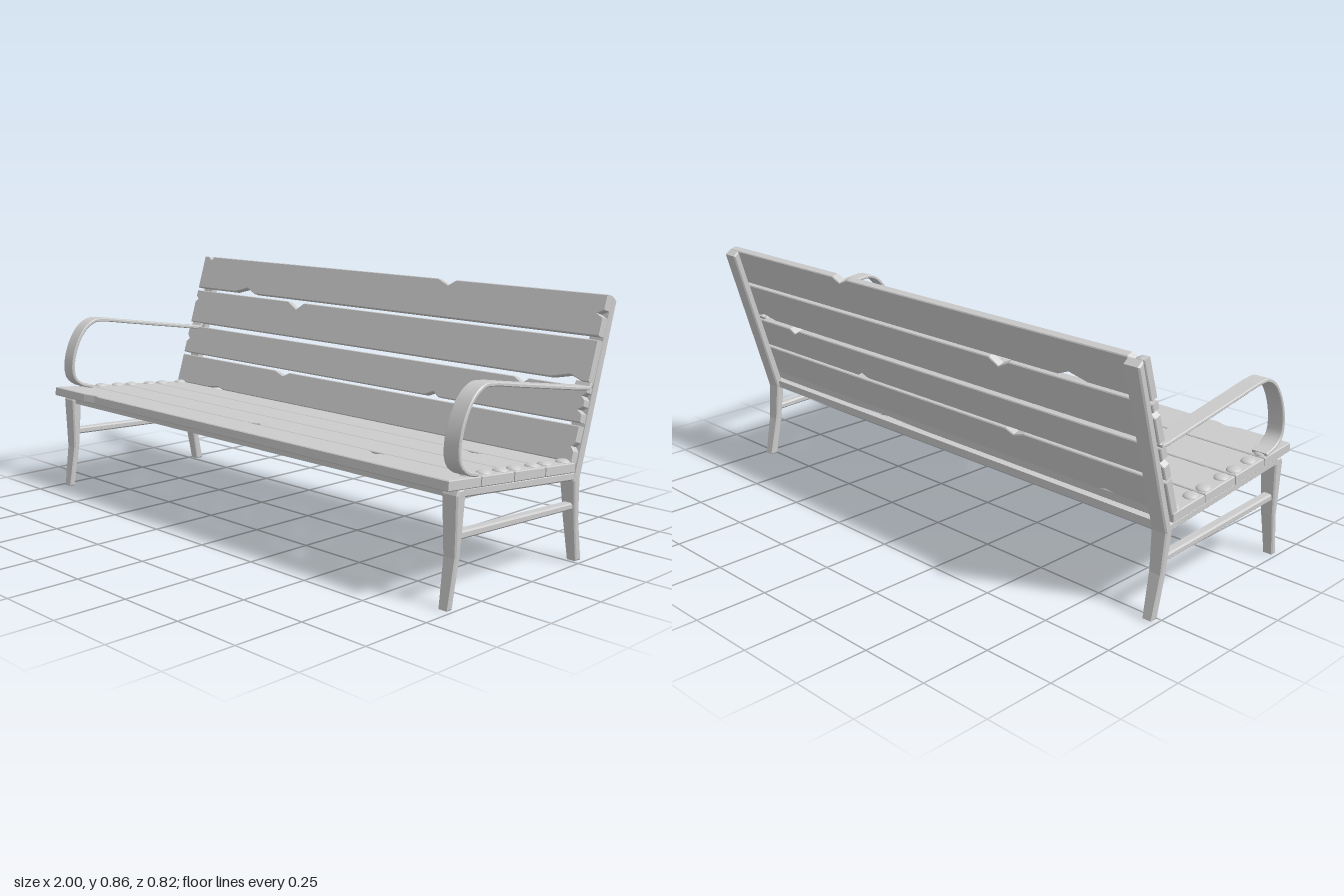
import * as THREE from 'three';
import { toCreasedNormals } from 'three/addons/utils/BufferGeometryUtils.js';

const material = new THREE.MeshStandardMaterial({ color: 0xcccccc });
const END_X = 0.969; // centre line of each end frame

function addMesh(parent, name, geometry) {
  const mesh = new THREE.Mesh(geometry, material);
  mesh.name = name;
  parent.add(mesh);
  return mesh;
}

function bevelled(shape, depth, bevel) {
  return new THREE.ExtrudeGeometry(shape, {
    depth: depth - 2 * bevel, bevelEnabled: true, bevelSegments: 1,
    bevelSize: bevel, bevelThickness: bevel, bevelOffset: -bevel, curveSegments: 1,
  }).translate(0, 0, bevel);
}

// Side outline given as [z, y], extruded along x and centred on x
function sideProfile(points, width, x, bevel = 0.005) {
  const shape = new THREE.Shape(points.map(([z, y]) => new THREE.Vector2(-z, y)));
  return bevelled(shape, width, bevel).translate(0, 0, -width / 2).rotateY(Math.PI / 2).translate(x, 0, 0);
}

// Legs get narrower in x towards the ground
function taperLeg(geometry, x) {
  const p = geometry.attributes.position;
  for (let i = 0; i < p.count; i++) {
    const s = 0.62 + 0.38 * Math.min(1, p.getY(i) / 0.3);
    p.setX(i, x + (p.getX(i) - x) * s);
  }
  geometry.computeVertexNormals();
  return geometry;
}

// Flat band following a side path of [z, y] points
function band(path, thickness, width, x) {
  const curve = new THREE.CatmullRomCurve3(path.map(([z, y]) => new THREE.Vector3(0, y, z)), false, 'centripetal');
  const n = 56, outer = [], inner = [];
  for (let i = 0; i <= n; i++) {
    const p = curve.getPointAt(i / n), t = curve.getTangentAt(i / n);
    const h = thickness / 2;
    outer.push([p.z - t.y * h, p.y + t.z * h]);
    inner.unshift([p.z + t.y * h, p.y - t.z * h]);
  }
  return toCreasedNormals(sideProfile([...outer, ...inner], width, x, 0.003), 0.6);
}

// Weathered board: notches are [edge, position, half width, depth]
function boardGeometry(length, height, thickness, notches) {
  const L = length / 2;
  const edge = (name) => notches.filter((n) => n[0] === name).sort((a, b) => a[1] - b[1]);
  const pts = [[-L, 0]];
  for (const [, c, w, d] of edge('low')) pts.push([c - w, 0], [c + w * 0.2, d], [c + w, 0]);
  pts.push([L, 0]);
  for (const [, c, w, d] of edge('right')) pts.push([L, c - w], [L - d, c], [L, c + w]);
  pts.push([L, height]);
  for (const [, c, w, d] of edge('high').reverse()) pts.push([c + w, height], [c + w * 0.2, height - d], [c - w, height]);
  pts.push([-L, height]);
  for (const [, c, w, d] of edge('left').reverse()) pts.push([-L, c + w], [-L + d, c], [-L, c - w]);
  const shape = new THREE.Shape(pts.map(([x, y]) => new THREE.Vector2(x, y)));
  return bevelled(shape, thickness, 0.003).translate(0, 0, -thickness);
}

export function createModel() {
  const bench = new THREE.Group();
  bench.name = 'bench';

  // End frames
  for (const [side, x] of [['left', END_X], ['right', -END_X]]) {
    const frame = new THREE.Group();
    frame.name = side + 'EndFrame';
    bench.add(frame);

    addMesh(frame, 'frontLeg', taperLeg(sideProfile([
      [0.392, 0], [0.37, 0], [0.346, 0.155], [0.342, 0.21], [0.333, 0.34],
      [0.34, 0.36], [0.365, 0.362], [0.373, 0.345], [0.37, 0.225], [0.369, 0.155],
    ], 0.06, x), x));
    addMesh(frame, 'rearLegAndBackPost', taperLeg(sideProfile([
      [-0.285, 0.003], [-0.255, 0.15], [-0.245, 0.285], [-0.41, 0.842], [-0.388, 0.858],
      [-0.22, 0.3], [-0.214, 0.28], [-0.224, 0.2], [-0.229, 0.15], [-0.255, 0.003],
    ], 0.06, x), x));
    addMesh(frame, 'seatSideRail', sideProfile([
      [0.36, 0.362], [-0.225, 0.309], [-0.225, 0.281], [0.345, 0.334],
    ], 0.048, x));
    addMesh(frame, 'stretcher', sideProfile([
      [0.352, 0.231], [-0.23, 0.205], [-0.23, 0.182], [0.352, 0.206],
    ], 0.034, x));
    addMesh(frame, 'armrest', band([
      [-0.29, 0.588], [-0.28, 0.574], [-0.262, 0.575], [-0.1, 0.6], [0.08, 0.629], [0.215, 0.65], [0.255, 0.65],
      [0.3, 0.624], [0.34, 0.565], [0.362, 0.49], [0.357, 0.435], [0.325, 0.405], [0.275, 0.39],
    ], 0.013, 0.06, x));
  }

  // Seat underframe
  const under = new THREE.Group();
  under.name = 'seatUnderframe';
  bench.add(under);
  const railLength = 2 * END_X;
  addMesh(under, 'frontRail', new THREE.BoxGeometry(railLength, 0.026, 0.035)).position.set(0, 0.346, 0.345);
  addMesh(under, 'rearRail', new THREE.BoxGeometry(railLength, 0.026, 0.03)).position.set(0, 0.296, -0.222);
  for (const x of [-0.66, -0.29, 0.275, 0.64]) {
    addMesh(under, 'crossBar', sideProfile([
      [0.345, 0.36], [-0.222, 0.309], [-0.222, 0.285], [0.345, 0.336],
    ], 0.08, x, 0.002));
  }

  // Seat boards, front to back: [front z, depth, notches]
  const seatTop = (z) => 0.385 + 0.09 * (z - 0.262);
  const seatBoards = [
    [0.411, 0.148, [['low', -0.76, 0.045, 0.012], ['high', 0.59, 0.035, 0.027]]],
    [0.259, 0.155, [['low', -0.01, 0.04, 0.025]]],
    [0.1, 0.155, [['high', 0.72, 0.045, 0.022]]],
    [-0.059, 0.156, [['high', 0.3, 0.2, 0.008]]],
  ];
  for (const [z, depth, notches] of seatBoards) {
    const board = addMesh(bench, 'seatBoard', boardGeometry(1.996, depth, 0.033, notches));
    board.rotation.x = -(Math.PI / 2 + 0.09);
    board.position.set(0, seatTop(z), z);
  }

  // Domed bolt heads on the seat ends
  const dome = new THREE.SphereGeometry(0.026, 14, 5, 0, Math.PI * 2, 0, Math.PI / 2).scale(1, 0.45, 1);
  for (const x of [-END_X, END_X]) {
    for (const z of [0.29, 0.215, 0.135, 0.068, -0.025, -0.09, -0.187]) {
      const bolt = addMesh(bench, 'boltHead', dome);
      bolt.position.set(x, seatTop(z) - 0.001, z);
      bolt.rotation.x = -0.09;
    }
  }

  // Back boards, bottom to top: [bottom y, height, notches]
  const backBoards = [
    [0.347, 0.118, [['high', -0.38, 0.04, 0.016], ['low', -0.75, 0.05, 0.008], ['right', 0.05, 0.015, 0.012]]],
    [0.469, 0.115, [['high', 0.74, 0.03, 0.018], ['low', 0.38, 0.03, 0.016],
      ['right', 0.04, 0.012, 0.02], ['right', 0.085, 0.012, 0.014], ['left', 0.06, 0.014, 0.015]]],
    [0.594, 0.137, [['high', -0.39, 0.045, 0.027], ['low', 0.91, 0.06, 0.016], ['left', 0.1, 0.012, 0.015]]],
    [0.736, 0.136, [['high', 0.34, 0.04, 0.02], ['high', -0.955, 0.02, 0.012], ['low', -0.7, 0.06, 0.02],
      ['right', 0.073, 0.012, 0.025]]],
  ];
  for (const [y, height, notches] of backBoards) {
    const board = addMesh(bench, 'backBoard', boardGeometry(1.996, height, 0.029, notches));
    board.rotation.x = -0.307;
    board.position.set(0, y, -0.193 - 0.317 * (y - 0.345));
  }

  return bench;
}
